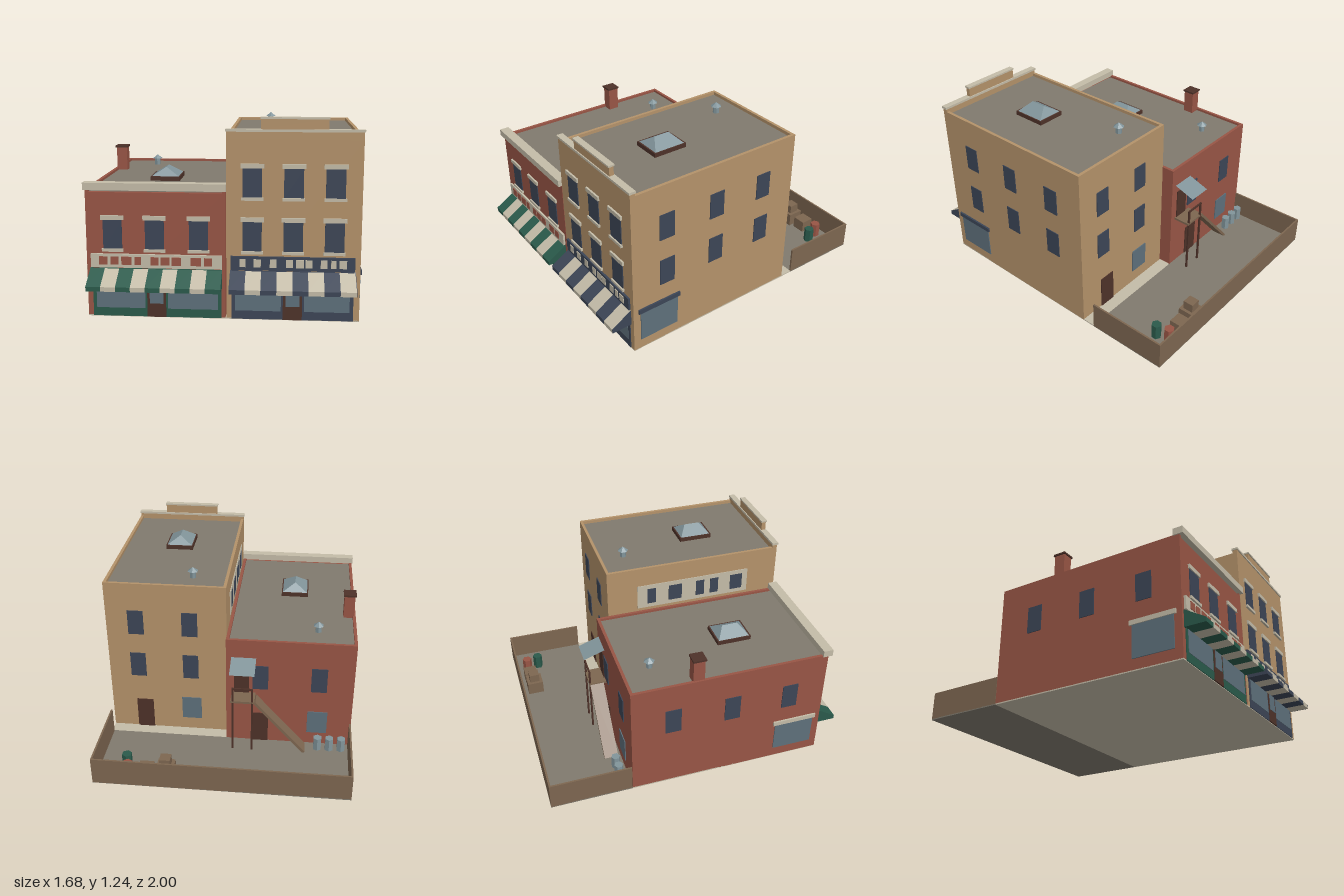
import * as THREE from 'three';

const colours = {
  redBrick: 0x985545, tanBrick: 0xb4926a, stone: 0xc4bca8, green: 0x2a5a4b, navy: 0x3c4556,
  glass: 0x5e707b, darkWood: 0x4e3229, roofing: 0x807a6e, timber: 0x7d6650, metal: 0x81949a,
};
const M = {};
for (const [name, color] of Object.entries(colours)) {
  M[name] = new THREE.MeshStandardMaterial({ color });
  M[name].name = name;
}

export function createModel() {
  const root = new THREE.Group();
  root.name = 'cornerShops';

  const add = (name, geo, mat, parent = root) => {
    const m = new THREE.Mesh(geo, mat);
    m.name = name;
    parent.add(m);
    return m;
  };
  // Box given by its limits on each axis
  const box = (name, mat, x0, x1, y0, y1, z0, z1, parent) => {
    const m = add(name, new THREE.BoxGeometry(x1 - x0, y1 - y0, z1 - z0), mat, parent);
    m.position.set((x0 + x1) / 2, (y0 + y1) / 2, (z0 + z1) / 2);
    return m;
  };
  const flat = (geo) => { const g = geo.toNonIndexed(); g.computeVertexNormals(); return g; };
  const hexDrum = (name, mat, x, z, y0, y1, r, rTop = r) => {
    const m = add(name, flat(new THREE.CylinderGeometry(rTop, r, y1 - y0, 6)), mat);
    m.position.set(x, (y0 + y1) / 2, z);
  };

  const F = 0.865; // front wall plane
  const LOW = [0.432, 0.612], HIGH = [0.76, 0.935];

  // Ground
  box('pavementSlab', M.stone, -0.83, 0.83, 0, 0.008, -0.455, F);
  box('yardFloor', M.roofing, -0.83, 0.83, 0, 0.008, -1, -0.455);

  // Building shell: body, flat roof and low parapets
  const shell = (name, mat, x0, x1, zBack, roofY, top) => {
    const g = new THREE.Group();
    g.name = name;
    root.add(g);
    box('walls', mat, x0, x1, 0.003, roofY, zBack, F, g);
    box('roof', M.roofing, x0 + 0.02, x1 - 0.02, roofY, roofY + 0.004, zBack + 0.02, F - 0.03, g);
    box('parapetLeft', mat, x1 - 0.02, x1, roofY, top, zBack, F, g);
    box('parapetRight', mat, x0, x0 + 0.02, roofY, top, zBack, F, g);
    box('parapetBack', mat, x0 + 0.02, x1 - 0.02, roofY, top, zBack, zBack + 0.02, g);
  };
  shell('redBuilding', M.redBrick, -0.83, 0.02, -0.455, 0.78, 0.8);
  shell('tanBuilding', M.tanBrick, 0.025, 0.83, -0.37, 1.105, 1.13);

  // Cornices and the raised centre of the tan front
  box('redCornice', M.stone, -0.838, 0.024, 0.795, 0.84, 0.825, 0.89);
  box('tanFrontParapet', M.tanBrick, 0.025, 0.83, 1.105, 1.15, 0.832, F);
  box('tanCornice', M.stone, 0.02, 0.835, 1.15, 1.165, 0.828, 0.872);
  box('raisedParapet', M.tanBrick, 0.23, 0.625, 1.165, 1.225, 0.835, F);
  box('raisedParapetCap', M.stone, 0.225, 0.63, 1.225, 1.236, 0.83, 0.872);

  // Front windows with lintel and sill
  const frontWindow = (x, [y0, y1]) => {
    box('frontWindow', M.navy, x - 0.058, x + 0.058, y0, y1, F, F + 0.005);
    box('lintel', M.stone, x - 0.07, x + 0.07, y1, y1 + 0.027, F, F + 0.012);
    box('sill', M.stone, x - 0.066, x + 0.066, y0 - 0.018, y0, F, F + 0.014);
  };
  for (const x of [-0.667, -0.41, -0.142]) frontWindow(x, LOW);
  for (const x of [0.18, 0.426, 0.672]) for (const row of [LOW, HIGH]) frontWindow(x, row);

  // Side windows
  const sidePane = (name, mat, side, z0, z1, y0, y1, t = 0.005) => side > 0
    ? box(name, mat, 0.83, 0.83 + t, y0, y1, z0, z1)
    : box(name, mat, -0.83 - t, -0.83, y0, y1, z0, z1);
  for (const z of [0.617, 0.247, -0.122]) {
    sidePane('sideWindow', M.navy, 1, z - 0.053, z + 0.053, ...LOW);
    sidePane('sideWindow', M.navy, 1, z - 0.053, z + 0.053, ...HIGH);
  }
  for (const z of [0.62, 0.22, -0.18]) sidePane('sideWindow', M.navy, -1, z - 0.053, z + 0.053, ...LOW);
  for (const s of [1, -1]) {
    sidePane('sideShopWindow', M.glass, s, 0.54, 0.815, 0.075, 0.285, 0.006);
    sidePane('sideShopHeader', s > 0 ? M.navy : M.stone, s, 0.525, 0.83, 0.285, 0.315, 0.012);
  }

  // Rear windows and doors
  const rear = (name, mat, x, w, y0, y1, wall) =>
    box(name, mat, x - w / 2, x + w / 2, y0, y1, wall - 0.006, wall);
  for (const x of [0.63, 0.27]) for (const row of [LOW, HIGH]) rear('rearWindow', M.navy, x, 0.105, ...row, -0.37);
  for (const x of [-0.21, -0.6]) rear('rearWindow', M.navy, x, 0.105, ...LOW, -0.455);
  rear('rearDoor', M.darkWood, 0.6, 0.115, 0.008, 0.235, -0.37);
  rear('rearShopWindow', M.glass, 0.27, 0.135, 0.1, 0.27, -0.37);
  rear('rearDoor', M.darkWood, -0.21, 0.115, 0.008, 0.235, -0.455);
  rear('rearShopWindow', M.glass, -0.6, 0.135, 0.1, 0.27, -0.455);
  rear('upperRearDoor', M.darkWood, -0.085, 0.1, 0.4, 0.61, -0.455);

  // Shopfronts: painted surround, panes, door, fascia with blocks, striped awning
  const shopfront = (o) => {
    const g = new THREE.Group();
    g.name = o.name;
    root.add(g);
    const { x0, x1, door } = o;
    box('surround', o.paint, x0, x1, 0.004, 0.31, F, F + 0.005, g);
    box('leftPane', M.glass, door + 0.07, x1 - 0.022, 0.058, 0.28, F, F + 0.008, g);
    box('rightPane', M.glass, x0 + 0.022, door - 0.07, 0.058, 0.28, F, F + 0.008, g);
    box('shopDoor', M.darkWood, door - 0.058, door + 0.058, 0.004, 0.28, F, F + 0.009, g);
    box('doorGlass', M.glass, door - 0.042, door + 0.042, 0.09, 0.27, F, F + 0.012, g);
    box('fascia', o.fascia, x0 - 0.006, x1 + 0.004, 0.315, 0.4, F, F + 0.014, g);
    for (const [a, b] of o.blocks) box('fasciaBlock', o.blockMat, a, b, 0.335, 0.385, F, F + 0.018, g);

    const profile = new THREE.Shape([[0, 0.31], [-0.135, 0.228], [-0.135, 0.2], [0, 0.2]]
      .map(([a, b]) => new THREE.Vector2(a, b)));
    const slice = (name, mat, x, w) => {
      const geo = new THREE.ExtrudeGeometry(profile, { depth: w, bevelEnabled: false });
      geo.rotateY(Math.PI / 2); // depth runs along x, profile -x becomes +z
      add(name, geo, mat, g).position.set(x, 0, F);
    };
    const w = (o.awning[1] - o.awning[0]) / o.stripes;
    for (let i = 0; i < o.stripes; i++)
      slice('awningStripe', i % 2 ? M.stone : o.paint, o.awning[0] + i * w, w);
    slice('awningEnd', o.paint, o.awning[1], 0.003);
  };
  shopfront({
    name: 'greenShopfront', paint: M.green, fascia: M.stone, blockMat: M.redBrick,
    x0: -0.797, x1: -0.004, door: -0.403, awning: [-0.81, -0.003], stripes: 9,
    blocks: [[-0.752, -0.699], [-0.681, -0.632], [-0.614, -0.551], [-0.533, -0.493], [-0.435, -0.386],
      [-0.373, -0.319], [-0.306, -0.248], [-0.19, -0.127], [-0.109, -0.06]],
  });
  shopfront({
    name: 'navyShopfront', paint: M.navy, fascia: M.navy, blockMat: M.stone,
    x0: 0.058, x1: 0.793, door: 0.427, awning: [0.048, 0.8], stripes: 8,
    blocks: [[0.105, 0.141], [0.19, 0.234], [0.288, 0.328], [0.386, 0.426], [0.444, 0.493],
      [0.502, 0.542], [0.592, 0.632], [0.654, 0.685], [0.703, 0.748]],
  });

  // Painted panel on the tan wall above the red roof
  box('wallPanel', M.stone, 0.02, 0.025, 0.82, 0.995, -0.16, 0.65);
  for (const [a, b] of [[-0.09, -0.03], [0.065, 0.16], [0.265, 0.325], [0.37, 0.43], [0.52, 0.61]])
    box('wallPanelBlock', M.navy, 0.017, 0.025, 0.85, 0.965, a, b);

  // Chimney
  box('chimney', M.redBrick, -0.818, -0.747, 0.78, 0.945, -0.05, 0.025);
  box('chimneyCap', M.darkWood, -0.826, -0.74, 0.945, 0.957, -0.056, 0.032);

  // Skylights: curb and hipped glass
  const skylight = (x, z, y) => {
    box('skylightCurb', M.darkWood, x - 0.095, x + 0.095, y, y + 0.032, z - 0.116, z + 0.116);
    const geo = new THREE.BoxGeometry(0.175, 0.055, 0.212);
    const p = geo.attributes.position;
    for (let i = 0; i < p.count; i++)
      if (p.getY(i) > 0) { p.setX(i, 0); p.setZ(i, p.getZ(i) * 0.5); }
    add('skylightGlass', flat(geo), M.metal).position.set(x, y + 0.0595, z);
  };
  skylight(-0.405, 0.35, 0.78);
  skylight(0.43, 0.37, 1.105);

  // Roof vents
  for (const [x, z, y] of [[-0.578, -0.26, 0.78], [0.265, -0.19, 1.105]]) {
    hexDrum('ventPipe', M.metal, x, z, y, y + 0.05, 0.022);
    hexDrum('ventHood', M.metal, x, z, y + 0.05, y + 0.078, 0.037, 0);
  }

  // Yard walls
  box('yardWallBack', M.timber, -0.83, 0.83, 0.002, 0.187, -1, -0.988);
  box('yardWallLeft', M.timber, 0.818, 0.83, 0.002, 0.187, -0.988, -0.457);
  box('yardWallRight', M.timber, -0.83, -0.818, 0.002, 0.187, -0.988, -0.457);

  // Rear stair, landing, posts, rails and canopy
  box('landing', M.timber, -0.18, -0.02, 0.385, 0.4, -0.572, -0.455);
  const run = 0.34, rise = 0.385;
  const flight = add('stairFlight', new THREE.BoxGeometry(Math.hypot(run, rise), 0.018, 0.095), M.timber);
  flight.position.set(-0.35, 0.2, -0.522);
  flight.rotation.z = Math.atan2(rise, run);
  for (const x of [-0.165, -0.035])
    box('landingPost', M.darkWood, x - 0.006, x + 0.006, 0.008, 0.5, -0.572, -0.56);
  box('landingRail', M.darkWood, -0.165, -0.035, 0.488, 0.5, -0.571, -0.561);
  const canopyMat = M.metal;
  canopyMat.side = THREE.DoubleSide;
  const canopy = add('canopy', new THREE.PlaneGeometry(0.165, 0.152), canopyMat);
  canopy.position.set(-0.098, 0.645, -0.528);
  canopy.rotation.x = -Math.PI / 2 - Math.atan2(0.05, 0.143);

  // Yard clutter
  for (const x of [-0.77, -0.69, -0.61]) hexDrum('dustbin', M.metal, x, -0.512, 0.008, 0.1, 0.03);
  box('largeCrate', M.timber, 0.31, 0.422, 0.008, 0.1, -0.95, -0.838);
  box('topCrate', M.timber, 0.331, 0.401, 0.1, 0.16, -0.929, -0.859);
  box('smallCrate', M.timber, 0.447, 0.54, 0.008, 0.09, -0.95, -0.858);
  hexDrum('redBarrel', M.redBrick, 0.615, -0.908, 0.008, 0.11, 0.034);
  hexDrum('greenBarrel', M.green, 0.637, -0.823, 0.008, 0.11, 0.034);

  return root;
}
